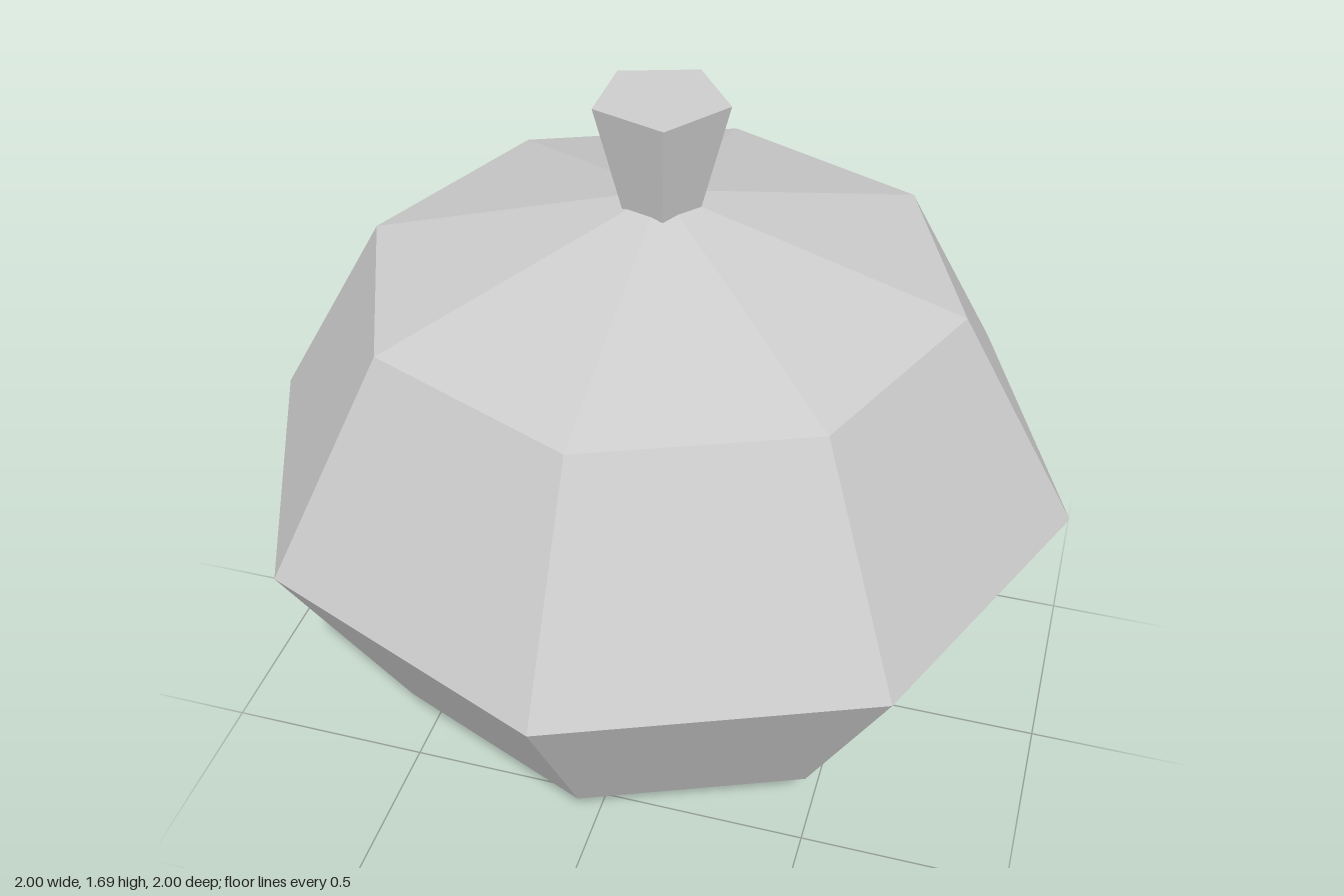
import * as THREE from 'three';

export function createModel() {
  const model = new THREE.Group();
  model.name = 'gourd';
  const grey = new THREE.MeshStandardMaterial({ color: 0xcccccc, flatShading: true });
  grey.name = 'plain grey';

  // Squashed eight-sided body
  const bodyHalfHeight = 0.73;
  const body = new THREE.Mesh(new THREE.SphereGeometry(1, 8, 4).scale(1, bodyHalfHeight, 1), grey);
  body.name = 'body';
  body.position.y = bodyHalfHeight;
  model.add(body);

  // Five-sided stem, flaring upward, with one corner towards +x
  const top = 1.69, bottom = 1.39;
  const stem = new THREE.Mesh(
    new THREE.CylinderGeometry(0.158, 0.083, top - bottom, 5, 1, false, Math.PI / 2), grey);
  stem.name = 'stem';
  stem.position.y = (top + bottom) / 2;
  model.add(stem);

  return model;
}
